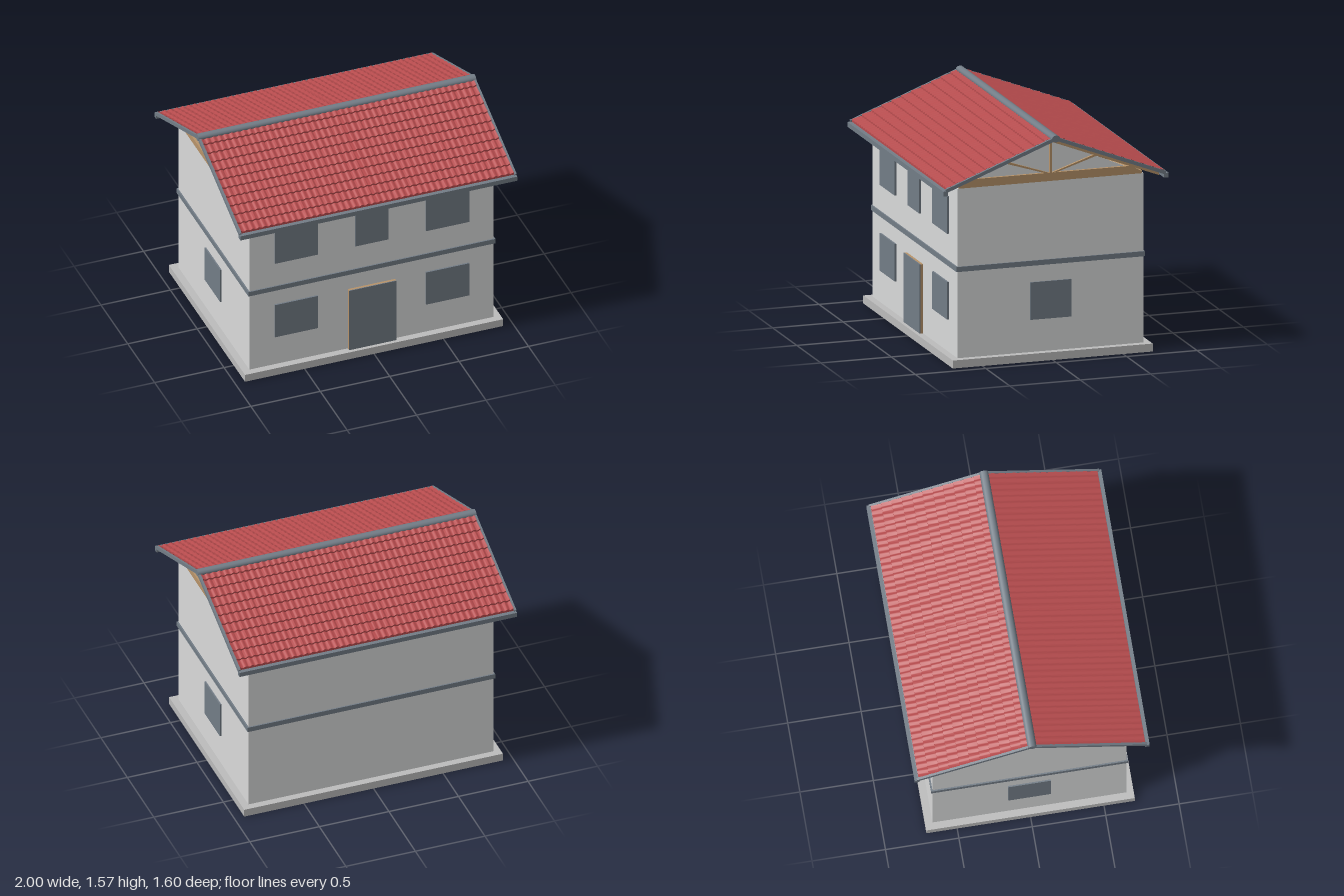
import * as THREE from 'three';
import { toCreasedNormals } from 'three/addons/utils/BufferGeometryUtils.js';

const mat = (name, color, extra = {}) => new THREE.MeshStandardMaterial({ name, color, ...extra });
const SLOPE = 0.385; // roof fall per unit of z

export function createModel() {
  const house = new THREE.Group();
  house.name = 'house';
  const wall = mat('wallPlaster', 0xdadbdb);
  const stone = mat('foundationConcrete', 0xbcbcbc);
  const slate = mat('slateTrim', 0x737d87);
  const wood = mat('timber', 0xb8946a);
  const red = mat('redTile', 0xb84c4e, { side: THREE.DoubleSide });

  const add = (name, geometry, material, parent = house) => {
    const mesh = new THREE.Mesh(geometry, material);
    mesh.name = name;
    parent.add(mesh);
    return mesh;
  };
  // Box given by its minimum and maximum on each axis
  const box = (name, material, x0, x1, y0, y1, z0, z1, parent) => {
    const g = new THREE.BoxGeometry(x1 - x0, y1 - y0, z1 - z0);
    g.translate((x0 + x1) / 2, (y0 + y1) / 2, (z0 + z1) / 2);
    return add(name, g, material, parent);
  };
  // Outline of [z, y] points extruded along x, centred on x
  const slab = (name, material, points, x, width, parent) => {
    const shape = new THREE.Shape(points.map(([z, y]) => new THREE.Vector2(z, y)));
    const g = new THREE.ExtrudeGeometry(shape, { depth: width, bevelEnabled: false });
    g.rotateY(-Math.PI / 2).translate(x + width / 2, 0, 0);
    return add(name, g, material, parent);
  };
  // Inverted V following both roof slopes
  const chevron = (low, high, reach) => [
    [0, high], [-reach, high - SLOPE * reach], [-reach + 0.012, low - SLOPE * (reach - 0.012)],
    [0, low], [reach - 0.012, low - SLOPE * (reach - 0.012)], [reach, high - SLOPE * reach],
  ];

  // Body
  box('foundation', stone, -0.93, 0.93, 0, 0.055, -0.71, 0.71);
  box('walls', wall, -0.88, 0.88, 0.055, 1.23, -0.66, 0.66);
  box('floorBand', slate, -0.89, 0.89, 0.655, 0.69, -0.67, 0.67);
  box('topPlate', wood, -0.88, 0.88, 1.23, 1.25, -0.65, 0.65);

  // Windows and door
  for (const s of [-1, 1]) {
    for (const y of [0.28, 0.875]) {
      box('frontWindow', slate, s * 0.545 - 0.155, s * 0.545 + 0.155, y, y + 0.26, 0.655, 0.672);
    }
    box('sideWindow', slate, s * 0.8825 - 0.0075, s * 0.8825 + 0.0075, 0.28, 0.54, -0.145, 0.145);
  }
  box('middleWindow', slate, -0.12, 0.12, 0.875, 1.135, 0.655, 0.672);
  box('doorFrame', wood, -0.17, 0.17, 0.055, 0.535, 0.655, 0.678);
  box('doorLeaf', slate, -0.17, 0.17, 0.055, 0.535, 0.678, 0.685);

  // Roof trusses
  for (let i = 0; i < 6; i++) {
    const truss = new THREE.Group();
    truss.name = 'truss';
    const x = -0.88 + i * 0.352;
    slab('rafters', wood, chevron(1.505, 1.535, 0.78), x, 0.02, truss);
    slab('tieBeam', wood, [[-0.64, 1.25], [0.64, 1.25], [0.57, 1.29], [-0.57, 1.29]], x, 0.019, truss);
    box('kingPost', wood, x - 0.009, x + 0.009, 1.29, 1.51, -0.007, 0.007, truss);
    for (const s of [-1, 1]) {
      const pts = [[s * 0.01, 1.289], [s * 0.04, 1.289], [s * 0.335, 1.383], [s * 0.31, 1.39]];
      slab('strut', wood, s > 0 ? pts : pts.reverse(), x, 0.016, truss);
    }
    house.add(truss);
  }
  // Gable infill just behind the end trusses
  for (const s of [-1, 1]) {
    slab('gablePanel', wall, [[-0.62, 1.25], [0.62, 1.25], [0, 1.515]], s * 0.866, 0.008);
  }

  // Roof sheet and edge trims
  slab('roofSheet', slate, chevron(1.541, 1.549, 0.775), 0, 1.97);
  for (const s of [-1, 1]) {
    slab('rakeTrim', slate, chevron(1.538, 1.564, 0.785), s * 0.991, 0.016);
    box('gutter', slate, -0.998, 0.998, 1.217, 1.25, s * 0.784 - 0.016, s * 0.784 + 0.016);
  }
  const ridge = new THREE.CylinderGeometry(0.03, 0.03, 2, 12).rotateZ(Math.PI / 2);
  ridge.scale(1, 0.8, 1).translate(0, 1.55, 0);
  add('ridgeCap', toCreasedNormals(ridge, 0.8), slate);

  // Tile courses: wavy strips, each lifted at its lower edge and closed by a butt face
  const columns = 45, rows = 11, pitch = 0.07, halfWidth = 0.983;
  const course = (row) => {
    const g = new THREE.PlaneGeometry(2 * halfWidth, 1, columns * 6, 2);
    const p = g.attributes.position;
    const low = 0.772 - row * pitch;
    for (let i = 0; i < p.count; i++) {
      const line = Math.floor(i / (columns * 6 + 1));
      const z = line === 0 ? Math.max(low - pitch, 0) : low;
      const wave = 0.004 * Math.cos(((p.getX(i) + halfWidth) / (2 * halfWidth)) * columns * 2 * Math.PI);
      const lift = [0.004 + wave, 0.015 + wave, -0.001][line];
      p.setXYZ(i, p.getX(i), 1.55 - SLOPE * z + lift, z);
    }
    return toCreasedNormals(g, 0.9);
  };
  for (let row = 0; row < rows; row++) {
    const g = course(row);
    add('frontTileCourse', g, red);
    add('backTileCourse', g, red).rotation.y = Math.PI;
  }
  return house;
}
